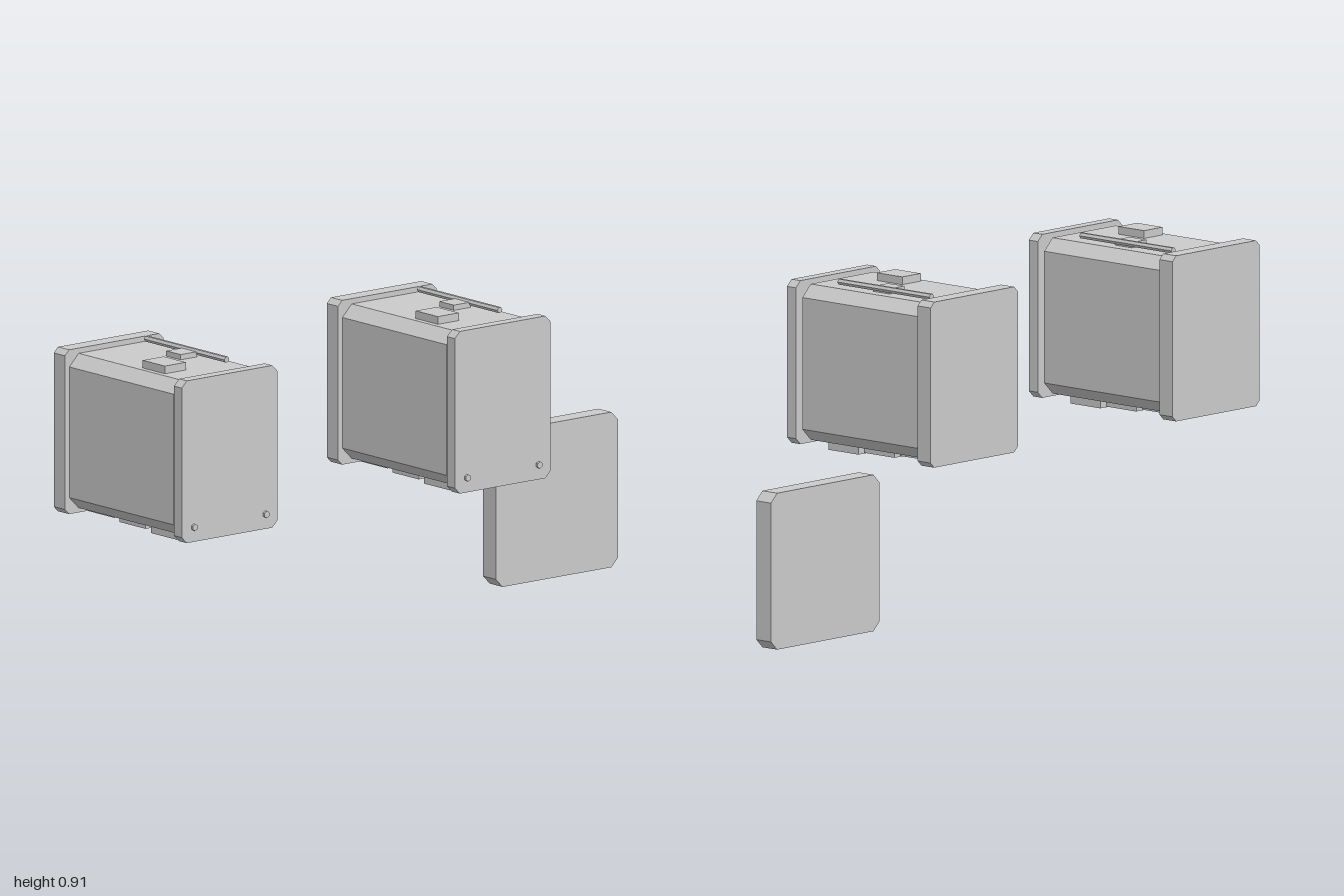
import * as THREE from 'three';

const material = new THREE.MeshStandardMaterial({ color: 0xcccccc, flatShading: true });

function add(parent, name, geometry, x = 0, y = 0, z = 0) {
  const mesh = new THREE.Mesh(geometry, material);
  mesh.name = name;
  mesh.position.set(x, y, z);
  parent.add(mesh);
  return mesh;
}

// Slab with four cut corners, spanning y0..y1 and z0..z1
function cutSlab(parent, name, width, y0, y1, z0, z1, cut) {
  const w = width / 2;
  const h = (y1 - y0) / 2;
  const shape = new THREE.Shape([
    [-w + cut, -h], [w - cut, -h], [w, -h + cut], [w, h - cut],
    [w - cut, h], [-w + cut, h], [-w, h - cut], [-w, -h + cut],
  ].map(([x, y]) => new THREE.Vector2(x, y)));
  const geometry = new THREE.ExtrudeGeometry(shape, { depth: z1 - z0, bevelEnabled: false });
  return add(parent, name, geometry, 0, (y0 + y1) / 2, z0);
}

// Box given by its extents in y and z
function block(parent, name, x, width, y0, y1, z0, z1) {
  return add(parent, name, new THREE.BoxGeometry(width, y1 - y0, z1 - z0), x, (y0 + y1) / 2, (z0 + z1) / 2);
}

function createUnit() {
  const unit = new THREE.Group();
  unit.name = 'unit';

  // Casing between the two end plates
  cutSlab(unit, 'casing', 0.326, 0.443, 0.884, -0.23, 0.223, 0.034);
  cutSlab(unit, 'frontPlate', 0.346, 0.432, 0.895, 0.238, 0.272, 0.018);
  cutSlab(unit, 'backPlate', 0.357, 0.43, 0.899, -0.279, -0.23, 0.015);

  // Parts on the top
  block(unit, 'topBox', -0.074, 0.076, 0.88, 0.906, 0.028, 0.125);
  block(unit, 'smallTopBox', 0.066, 0.06, 0.88, 0.899, -0.047, 0.016);
  const rod = add(unit, 'topRod', new THREE.CylinderGeometry(0.009, 0.009, 0.35, 6), 0.1, 0.897, -0.035);
  rod.rotation.set(Math.PI / 2, Math.PI / 6, 0);

  // Stepped feet, shallower towards the back
  const feet = [[0.06, 0.174, 0.418], [-0.077, 0.038, 0.426], [-0.213, -0.099, 0.434]];
  feet.forEach(([z0, z1, y0]) => block(unit, 'foot', 0, 0.218, y0, 0.447, z0, z1));

  // Studs near the lower front corners
  for (const side of [-1, 1]) {
    const stud = add(unit, 'frontStud', new THREE.CylinderGeometry(0.01, 0.01, 0.011, 6), side * 0.13, 0.474, 0.2735);
    stud.rotation.x = Math.PI / 2;
  }
  return unit;
}

export function createModel() {
  const model = new THREE.Group();
  model.name = 'model';

  // Two identical units side by side
  for (const x of [-0.8215, 0.1685]) {
    const unit = createUnit();
    unit.position.x = x;
    model.add(unit);
  }

  // Separate upright panel
  const panel = cutSlab(model, 'panel', 0.444, 0, 0.443, -0.279, -0.223, 0.025);
  panel.position.x = 0.778;

  return model;
}
